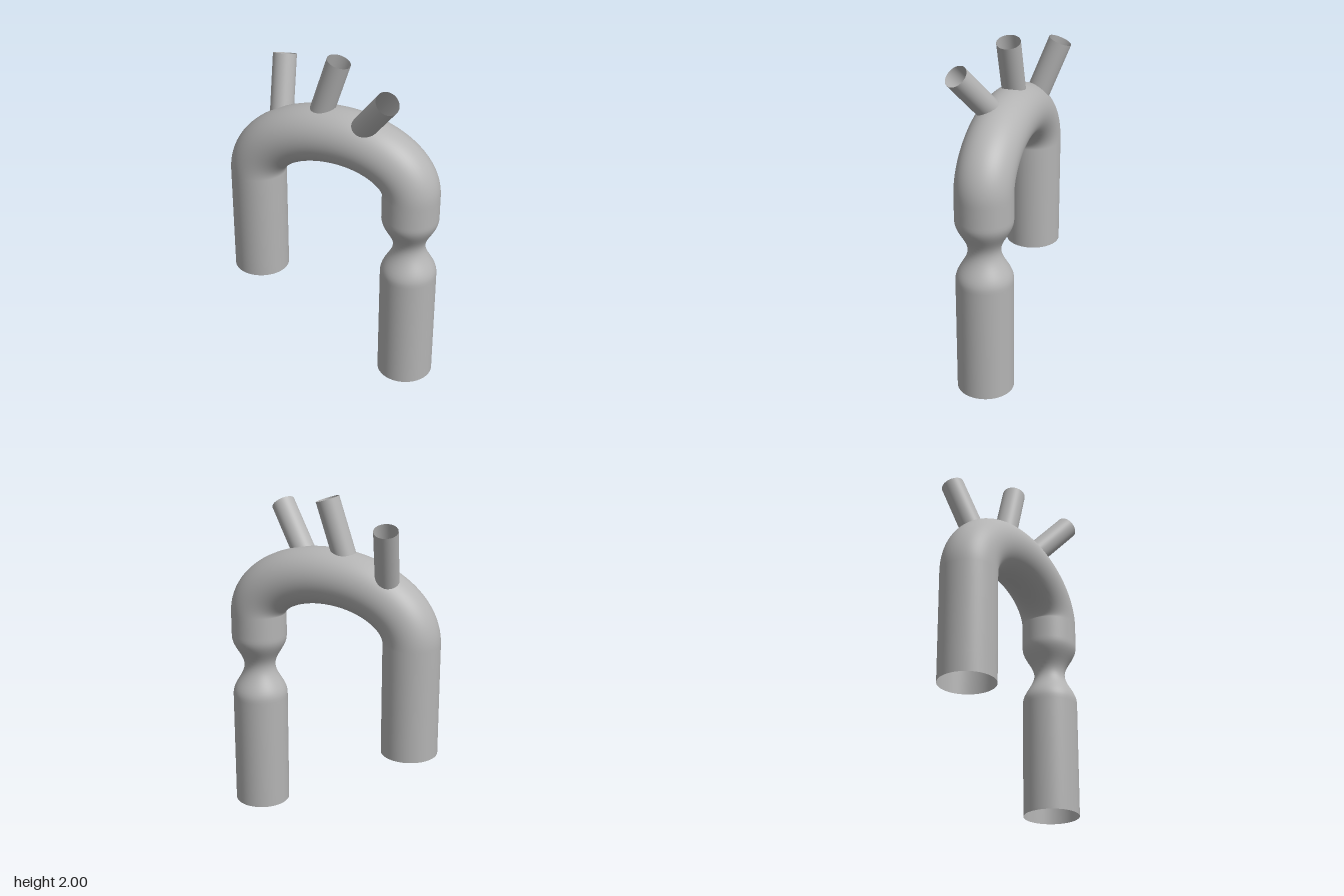
import * as THREE from 'three';

const R = 0.168; // radius of the main tube
const LEG = 0.495; // x distance of both legs

// Radius at a height on the long leg, with a pinched waist
function waistRadius(y) {
  const d = Math.abs(y - 0.905) / 0.19;
  return d < 1 ? R - 0.0365 * (1 + Math.cos(Math.PI * d)) : R;
}

// Stations along the centre line: position, tangent and radius
function archStations() {
  const out = [];
  const add = (x, y, tx, ty, r) => {
    const l = Math.hypot(tx, ty);
    out.push({ x, y, tx: tx / l, ty: ty / l, r });
  };
  // short leg, going up
  for (let i = 0; i < 6; i++) add(-LEG, 0.5 + (0.68 * i) / 6, 0, 1, R);
  // arch made of two quarter ellipses that meet at the crown
  const cx = 0.04, top = 1.523, n = 32;
  for (const [side, springY] of [[-1, 1.18], [1, 1.245]]) {
    const rx = LEG - side * cx, ry = top - springY;
    for (let i = side < 0 ? 0 : 1; i <= n; i++) {
      const t = ((side < 0 ? i : n - i) / n) * Math.PI / 2;
      add(cx + side * rx * Math.cos(t), springY + ry * Math.sin(t),
        rx * Math.sin(t), -side * ry * Math.cos(t), R);
    }
  }
  // long leg, going down through the waist
  const m = 64;
  for (let i = 1; i <= m; i++) {
    const y = 1.245 * (1 - i / m);
    add(LEG, y, 0, -1, waistRadius(y));
  }
  return out;
}

// Open skin swept through circular cross-sections
function sweep(stations, sides) {
  const pos = [], index = [];
  stations.forEach((s, i) => {
    for (let j = 0; j < sides; j++) {
      const a = (j / sides) * Math.PI * 2;
      const c = Math.cos(a) * s.r;
      pos.push(s.x - s.ty * c, s.y + s.tx * c, Math.sin(a) * s.r);
      if (i === stations.length - 1) continue;
      const k = (j + 1) % sides;
      const p = i * sides + j, q = i * sides + k;
      index.push(p, q, p + sides, q, q + sides, p + sides);
    }
  });
  const g = new THREE.BufferGeometry();
  g.setAttribute('position', new THREE.Float32BufferAttribute(pos, 3));
  g.setIndex(index);
  g.computeVertexNormals();
  return g;
}

// Open straight pipe whose upper rim is centred on tip
function branch(name, tip, dir, drop, material) {
  const d = new THREE.Vector3(...dir);
  const length = d.length() * drop;
  const mesh = new THREE.Mesh(
    new THREE.CylinderGeometry(0.07, 0.07, length, 40, 1, true), material);
  d.normalize();
  mesh.quaternion.setFromUnitVectors(new THREE.Vector3(0, 1, 0), d);
  mesh.position.set(...tip).addScaledVector(d, -length / 2);
  mesh.name = name;
  return mesh;
}

export function createModel() {
  const group = new THREE.Group();
  group.name = 'archedVessel';
  const grey = new THREE.MeshStandardMaterial({ color: 0xb4b4b4, side: THREE.DoubleSide });
  grey.name = 'grey';

  const arch = new THREE.Mesh(sweep(archStations(), 56), grey);
  arch.name = 'archTube';
  group.add(arch);

  // three branches on the crown; dir is the run per unit of height
  group.add(
    branch('rightBranch', [-0.398, 1.873, -0.185], [-0.11, 1, -0.38], 0.38, grey),
    branch('middleBranch', [0.036, 1.978, 0], [0.33, 1, 0], 0.39, grey),
    branch('leftBranch', [0.41, 1.882, 0.182], [0.79, 1, 0.5], 0.3, grey));
  return group;
}
